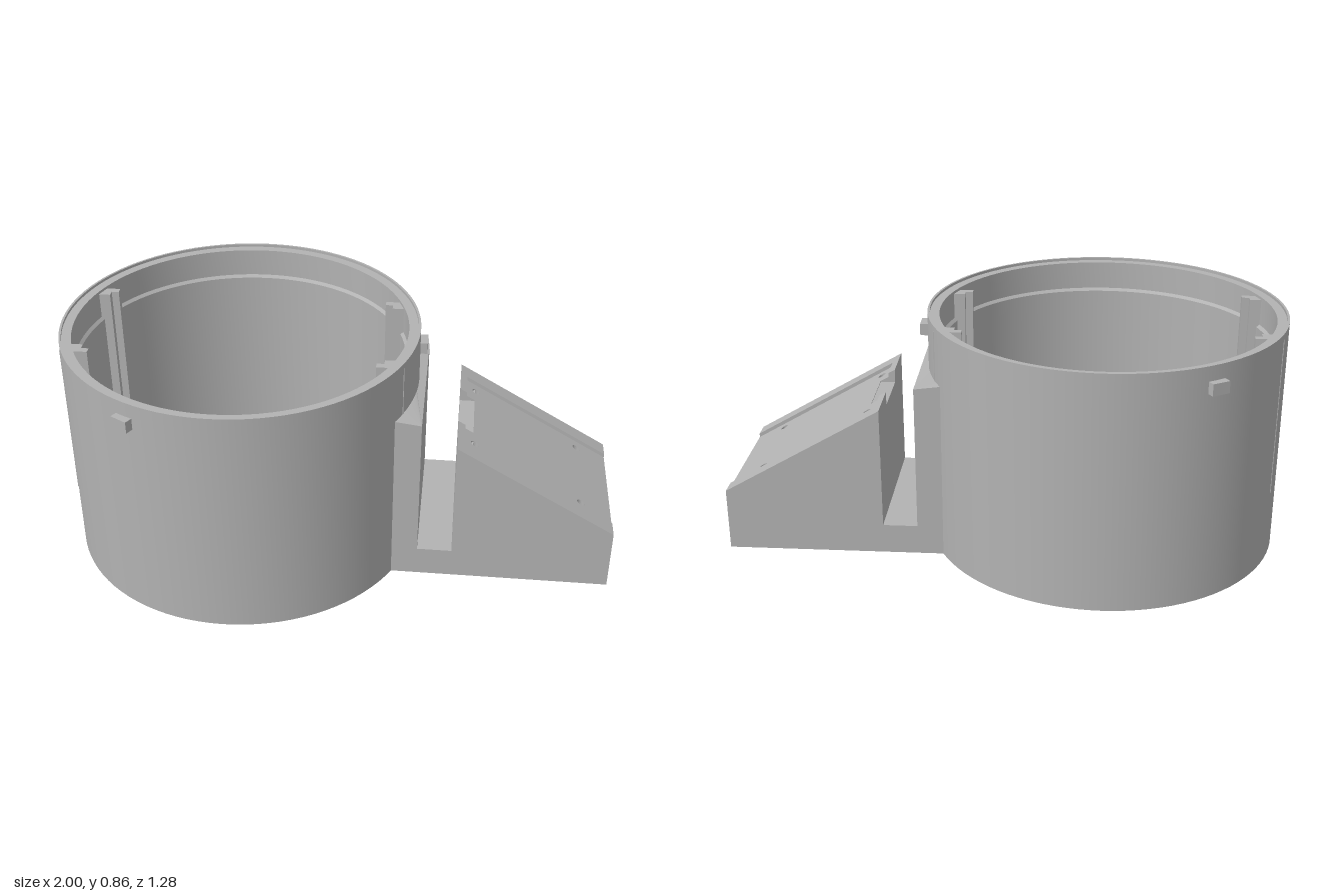
import * as THREE from 'three';
import { toCreasedNormals } from 'three/addons/utils/BufferGeometryUtils.js';

const CX = -0.36;      // axis of the round housing
const R = 0.64;        // its outer radius
const HALF = 0.287;    // half width of the side arm
const SLOPE = (0.56 - 0.23) / 0.57;

export function createModel() {
  const model = new THREE.Group();
  const grey = new THREE.MeshStandardMaterial({ color: 0xb2b2b2 });
  grey.name = 'grey plastic';

  const add = (name, geometry, x = 0, y = 0, z = 0) => {
    const mesh = new THREE.Mesh(geometry, grey);
    mesh.name = name;
    mesh.position.set(x, y, z);
    model.add(mesh);
    return mesh;
  };
  const polygon = (pts) => new THREE.Shape(pts.map(([x, y]) => new THREE.Vector2(x, y)));
  const hole = (shape, x, y, r) => shape.holes.push(new THREE.Path().absarc(x, y, r, 0, Math.PI * 2, true));
  // Extrude a plan (x, z) shape upwards
  const slab = (shape, depth, curveSegments = 24) =>
    new THREE.ExtrudeGeometry(shape, { depth, bevelEnabled: false, curveSegments }).rotateX(-Math.PI / 2);
  // Plan slab sheared to follow the sloping face; top and bottom are drops below it
  const slopedSlab = (shape, top, bottom) => {
    const g = slab(shape, bottom - top, 10);
    const p = g.attributes.position;
    for (let i = 0; i < p.count; i++) {
      p.setY(i, p.getY(i) + 0.56 - bottom - SLOPE * (p.getX(i) - 0.43));
    }
    g.computeVertexNormals();
    return g;
  };

  // Round wall with a lid seat at the rim and a small ledge inside
  const profile = [[0.598, 0], [R, 0], [R, 0.86], [0.632, 0.86], [0.632, 0.85], [0.598, 0.85],
    [0.598, 0.745], [0.588, 0.735], [0.588, 0.04]].map(([r, y]) => new THREE.Vector2(r, y));
  add('housingWall', toCreasedNormals(new THREE.LatheGeometry(profile, 96), 0.4), CX);

  // Floor with a cable opening and four screw holes
  const floor = new THREE.Shape().absarc(0, 0, 0.598, 0, Math.PI * 2);
  hole(floor, 0, 0, 0.11);
  for (const sx of [-1, 1]) for (const sz of [-1, 1]) hole(floor, sx * 0.265, sz * 0.265, 0.027);
  add('floor', toCreasedNormals(slab(floor, 0.04, 48), 0.4), CX);

  for (const sx of [-1, 1]) for (const sz of [-1, 1]) {
    // Screw bosses
    add('screwBoss', new THREE.CylinderGeometry(0.058, 0.058, 0.08, 32), CX + sx * 0.265, 0.08, sz * 0.265);

    // Corner holders: tall L outside, lower pad inside
    const hx = CX + sx * 0.41, hz = sz * 0.32;
    add('holderPad', new THREE.BoxGeometry(0.055, 0.1, 0.055), hx - sx * 0.01, 0.09, hz - sz * 0.01);
    add('holderSide', new THREE.BoxGeometry(0.02, 0.14, 0.075), hx + sx * 0.0275, 0.11, hz);
    add('holderEnd', new THREE.BoxGeometry(0.055, 0.14, 0.02), hx - sx * 0.01, 0.11, hz + sz * 0.0275);

    // Tall ribs standing off the wall, with a thinner inner strip
    add('wallRib', new THREE.BoxGeometry(0.07, 0.58, 0.05), CX + sx * 0.562, 0.55, sz * 0.211);
    add('ribStrip', new THREE.BoxGeometry(0.03, 0.58, 0.025), CX + sx * 0.515, 0.55, sz * 0.2235);
  }

  // Three lid tabs around the rim
  for (let i = 0; i < 3; i++) {
    const tab = new THREE.BoxGeometry(0.05, 0.042, 0.065).translate(0.64, 0, -0.033);
    add('lidTab', tab, CX, 0.786, 0).rotation.y = -i * Math.PI * 2 / 3;
  }

  // Upright plate, hollowed to fit the round wall, with a bevelled top edge
  const a = Math.asin(HALF / 0.62);
  const plan = new THREE.Shape();
  plan.moveTo(0.305, -HALF);
  plan.lineTo(0.305, HALF);
  plan.absarc(CX, 0, 0.62, a, -a, true);
  const plate = slab(plan, 0.66);
  const pp = plate.attributes.position;
  for (let i = 0; i < pp.count; i++) {
    if (pp.getX(i) > 0.3 && pp.getY(i) > 0.5) pp.setY(i, 0.645);
  }
  plate.computeVertexNormals();
  add('backPlate', plate);

  // Arm base and wedge
  const side = polygon([[0.3, 0], [1, 0], [1, 0.18], [0.485, 0.478], [0.485, 0.51],
    [0.43, 0.51], [0.43, 0.11], [0.3, 0.11]]);
  add('wedgeBody', new THREE.ExtrudeGeometry(side, { depth: HALF * 2, bevelEnabled: false }), 0, 0, -HALF);

  // Sloping panel with an edge notch and four screw holes
  const panel = polygon([[0.43, -HALF], [1, -HALF], [1, HALF], [0.43, HALF],
    [0.43, 0.11], [0.485, 0.11], [0.485, -0.11], [0.43, -0.11]]);
  for (const x of [0.49, 0.885]) for (const z of [-0.175, 0.175]) hole(panel, x, z, 0.014);
  add('slopingPanel', slopedSlab(panel, 0.015, 0.052));

  // Raised border on both sides of the panel
  for (const s of [-1, 1]) {
    const border = polygon([[0.43, s * 0.11], [0.43, s * HALF], [1, s * HALF],
      [1, s * 0.22], [0.455, s * 0.22], [0.455, s * 0.11]]);
    add('panelBorder', slopedSlab(border, 0, 0.015));
  }

  return model;
}
